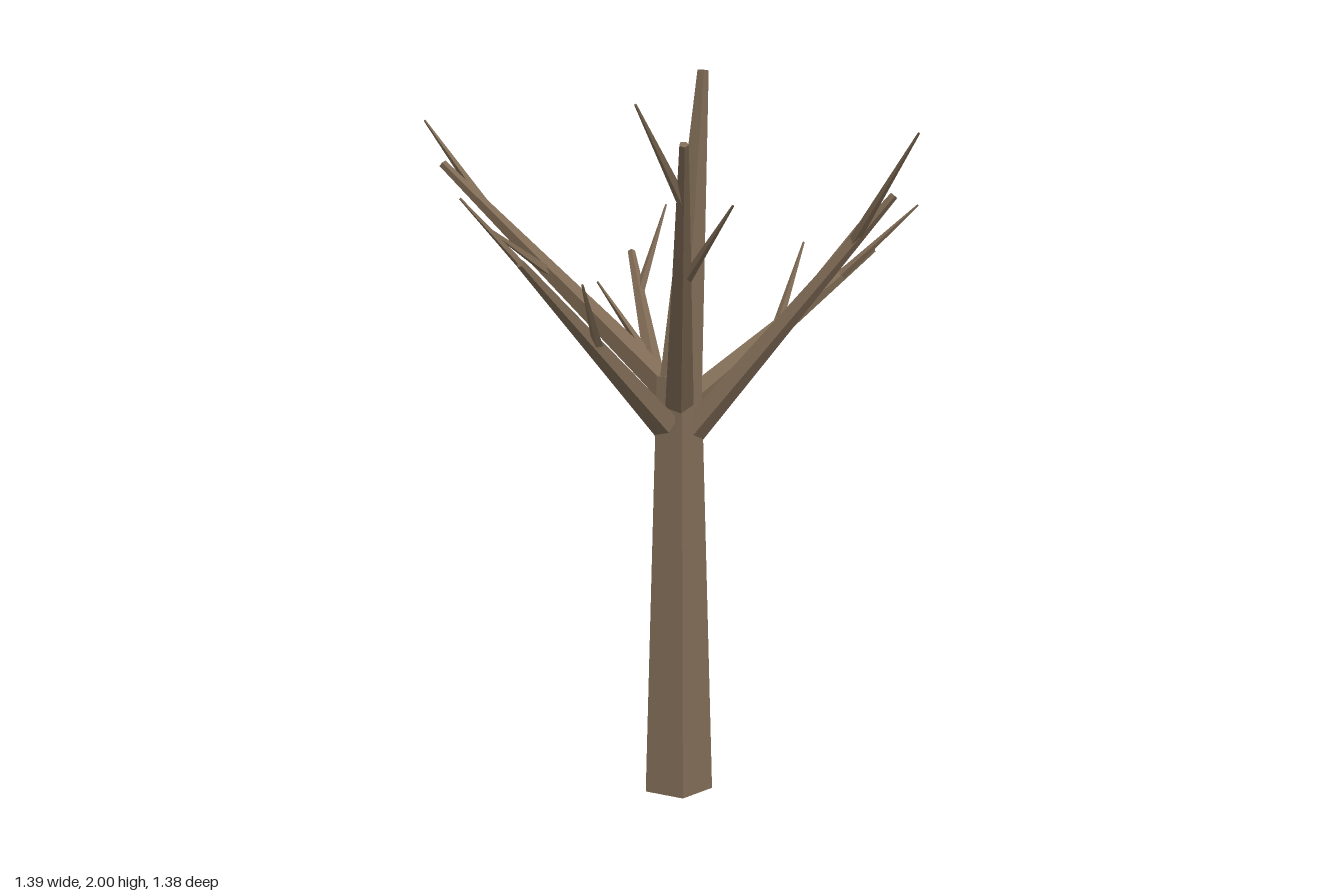
import * as THREE from 'three';

const bark = new THREE.MeshStandardMaterial({ color: 0x7f6b55, flatShading: true });
bark.name = 'bark';

const UP = new THREE.Vector3(0, 1, 0);

// Tapered limb running from a to b
function limb(name, a, b, r0, r1, sides) {
  const dir = b.clone().sub(a);
  const geo = new THREE.CylinderGeometry(r1, r0, dir.length(), sides, 1, false, Math.PI / 2);
  const mesh = new THREE.Mesh(geo, bark);
  mesh.name = name;
  mesh.position.copy(a).add(b).multiplyScalar(0.5);
  mesh.quaternion.setFromUnitVectors(UP, dir.normalize());
  return mesh;
}

const v = (p) => new THREE.Vector3(...p);

// Each branch: start, tip, and twigs as [position along branch, tip]
const branches = [
  { name: 'backLeftBranch', from: [0.08, 1.1, -0.02], to: [0.55, 1.5, -0.48],
    twigs: [[0.8, [0.68, 1.63, -0.44]], [0.45, [0.35, 1.52, -0.45]]] },
  { name: 'backBranch', from: [0.03, 0.89, -0.03], to: [-0.19, 1.48, -0.58],
    twigs: [[0.8, [-0.1, 1.62, -0.69]], [0.48, [-0.26, 1.4, -0.4]]] },
  { name: 'leftBranch', from: [0.09, 1.03, 0.025], to: [0.625, 1.67, 0.03],
    twigs: [[0.8, [0.69, 1.83, 0.18]], [0.5, [0.53, 1.59, -0.1]]] },
  { name: 'rightBranch', from: [0.02, 1.14, 0.015], to: [-0.62, 1.75, -0.03],
    twigs: [[0.8, [-0.7, 1.87, -0.13]], [0.5, [-0.47, 1.59, 0.115]]] },
  { name: 'frontRightBranch', from: [0.02, 1.05, 0.065], to: [-0.27, 1.51, 0.49],
    twigs: [[0.8, [-0.415, 1.67, 0.515]], [0.48, [-0.115, 1.46, 0.49]]] },
  { name: 'frontBranch', from: [0.06, 1.11, 0.07], to: [0.15, 1.8, 0.575],
    twigs: [[0.8, [0.055, 1.89, 0.69]], [0.48, [0.255, 1.655, 0.47]]] },
];

export function createModel() {
  const tree = new THREE.Group();
  tree.name = 'bareTree';

  // Trunk and its upright leader
  tree.add(limb('trunk', v([0.05, 0, 0.02]), v([0.05, 1.18, 0.02]), 0.1, 0.065, 5));
  tree.add(limb('leader', v([0.052, 1.12, 0.02]), v([0.11, 1.998, -0.015]), 0.064, 0.016, 5));

  // Side branches with two twigs each
  for (const { name, from, to, twigs } of branches) {
    const group = new THREE.Group();
    group.name = name;
    const a = v(from), b = v(to);
    group.add(limb('branch', a, b, 0.041, 0.012, 5));
    for (const [t, tip] of twigs) {
      group.add(limb('twig', a.clone().lerp(b, t), v(tip), 0.015, 0.003, 4));
    }
    tree.add(group);
  }
  return tree;
}
